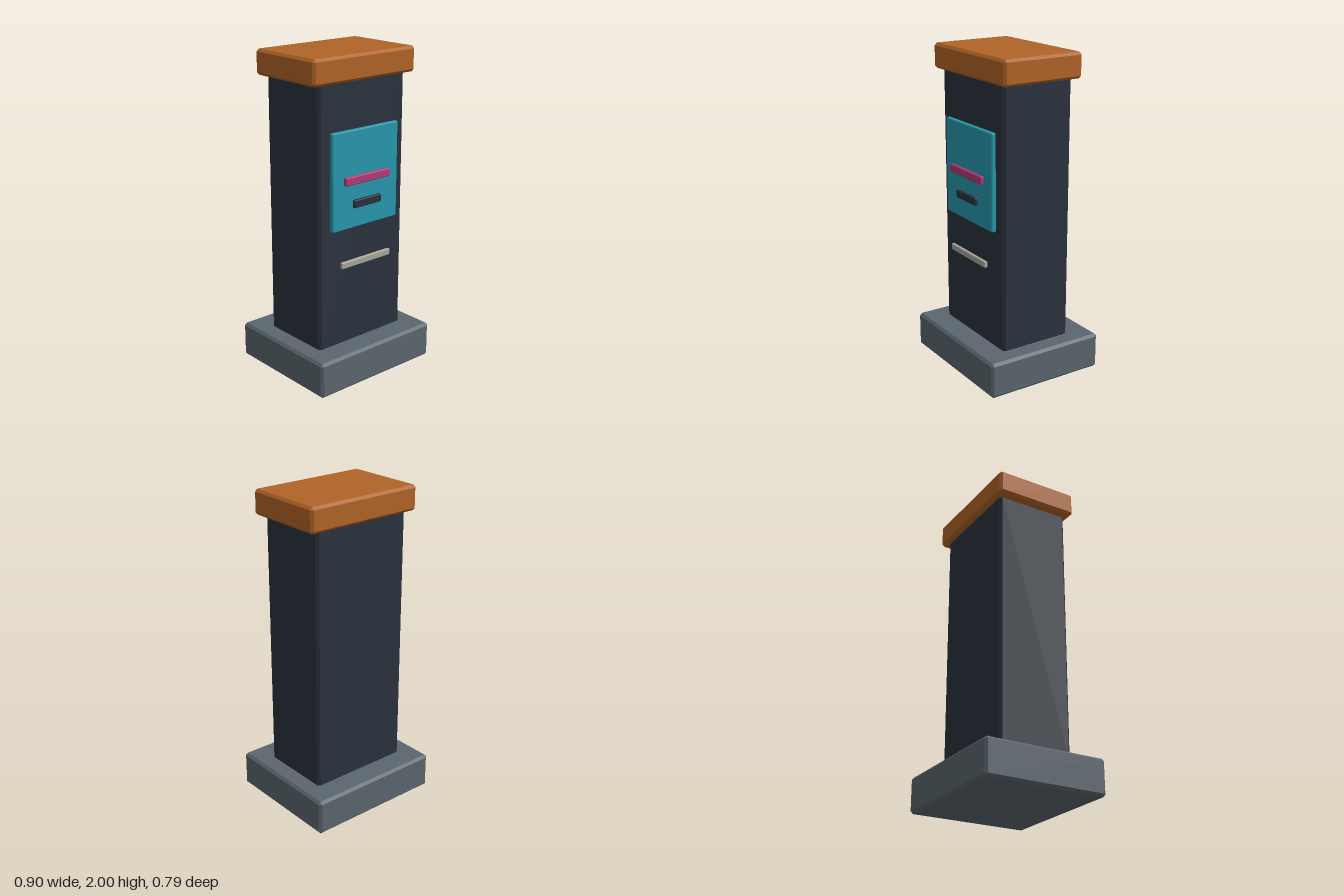
import * as THREE from 'three';
import { ConvexGeometry } from 'three/addons/geometries/ConvexGeometry.js';

// Box with every edge cut by a flat chamfer c: three corner points per octant.
function chamferBox(w, h, d, c) {
  const half = [w / 2, h / 2, d / 2];
  const points = [];
  for (const sx of [-1, 1]) for (const sy of [-1, 1]) for (const sz of [-1, 1]) {
    const s = [sx, sy, sz];
    for (let face = 0; face < 3; face++) {
      points.push(new THREE.Vector3(...half.map((v, i) => s[i] * (i === face ? v : v - c))));
    }
  }
  return new ConvexGeometry(points);
}

export function createModel() {
  const model = new THREE.Group();
  model.name = 'kiosk';

  // Adds a part from its width, its y and z ranges, chamfer and colour.
  const add = (name, w, [y0, y1], [z0, z1], chamfer, color) => {
    const material = new THREE.MeshStandardMaterial({ color, flatShading: true });
    const mesh = new THREE.Mesh(chamferBox(w, y1 - y0, z1 - z0, chamfer), material);
    mesh.name = name;
    mesh.position.set(0, (y0 + y1) / 2, (z0 + z1) / 2);
    model.add(mesh);
  };

  // Body
  add('base', 0.9, [0, 0.225], [-0.393, 0.393], 0.016, 0x5b666e);
  add('column', 0.67, [0.21, 1.86], [-0.237, 0.237], 0.016, 0x2a323d);
  add('cap', 0.786, [1.846, 2], [-0.268, 0.268], 0.016, 0xb06427);

  // Front panel with its bars, and the shelf strip below it
  add('frontPanel', 0.515, [0.97, 1.565], [0.237, 0.268], 0.005, 0x2897ad);
  add('accentBar', 0.35, [1.243, 1.294], [0.268, 0.292], 0.005, 0xb33a78);
  add('slot', 0.214, [1.097, 1.146], [0.268, 0.292], 0.005, 0x2a323d);
  add('lowerStrip', 0.39, [0.73, 0.77], [0.26, 0.282], 0.004, 0xa8a69a);

  return model;
}
